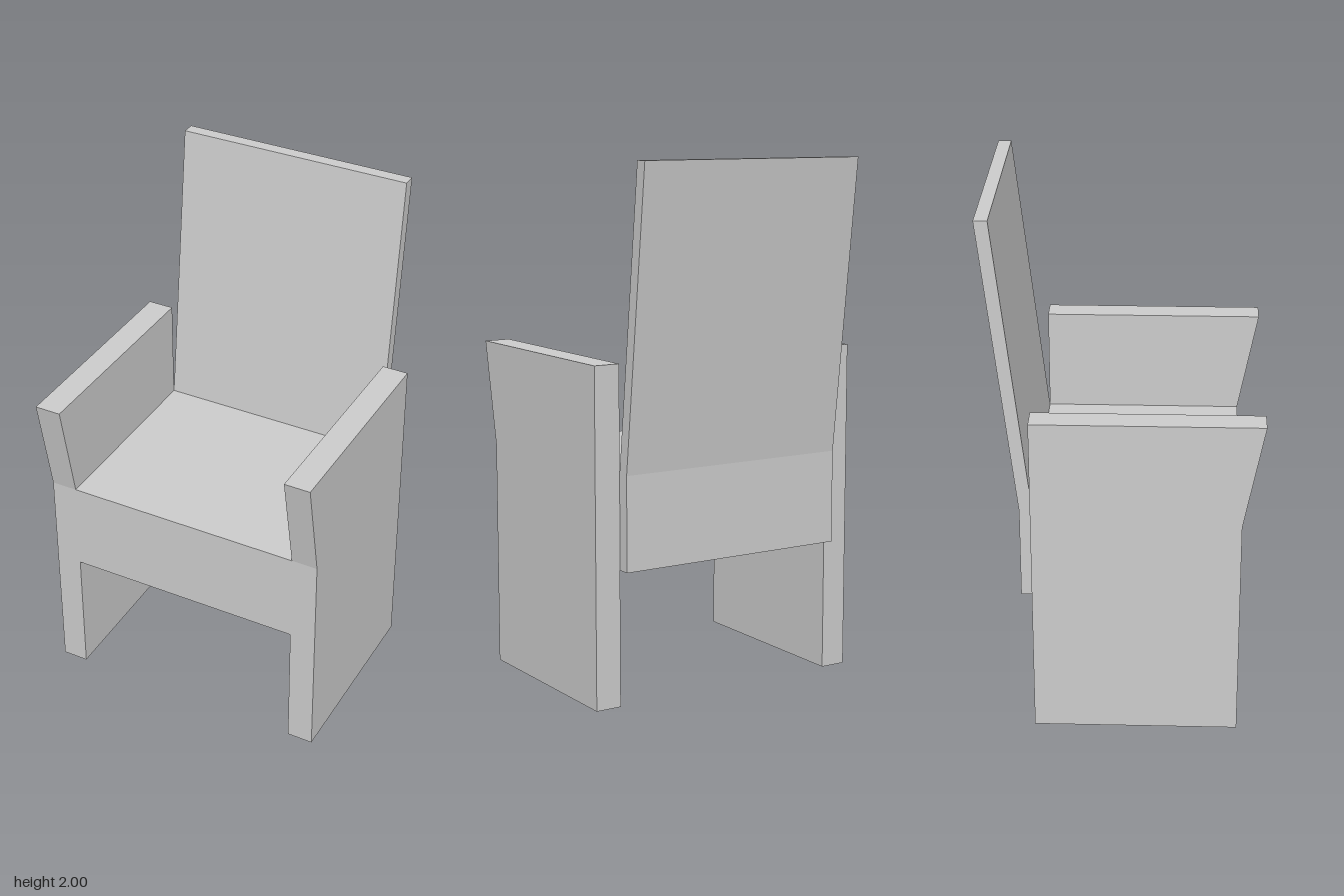
import * as THREE from 'three';

const material = new THREE.MeshStandardMaterial({ color: 0xcccccc, flatShading: true });

// Extrudes a side profile of [z, y] points across x, from x0 to x1
function panel(name, profile, x0, x1) {
  const shape = new THREE.Shape(profile.map(([z, y]) => new THREE.Vector2(z, y)));
  const geometry = new THREE.ExtrudeGeometry(shape, { depth: x1 - x0, bevelEnabled: false });
  geometry.rotateY(-Math.PI / 2); // profile x becomes z, depth runs to -x
  geometry.translate(x1, 0, 0);
  const mesh = new THREE.Mesh(geometry, material);
  mesh.name = name;
  return mesh;
}

export function createModel() {
  const chair = new THREE.Group();
  chair.name = 'armchair';

  const inner = 0.463, outer = 0.565;       // side panel faces
  const rear = -0.335, front = 0.437;       // seat depth
  const seatBottom = 0.517, seatTop = 0.875;

  // Solid seat block between the sides
  chair.add(panel('seat', [
    [rear, seatBottom], [front, seatBottom], [front, seatTop], [rear, seatTop],
  ], -inner, inner));

  // Backrest: upright behind the seat, then leaning back
  chair.add(panel('backrest', [
    [rear, seatBottom], [rear, seatTop], [-0.465, 2], [-0.515, 2],
    [-0.384, seatTop], [-0.384, seatBottom],
  ], -inner, inner));

  // Side panels forming legs and arms, flared forward above the seat
  const side = [[rear, 0], [front, 0], [front, seatTop], [0.515, 1.276], [rear, 1.276]];
  chair.add(panel('leftSide', side, inner, outer));
  chair.add(panel('rightSide', side, -outer, -inner));

  return chair;
}
